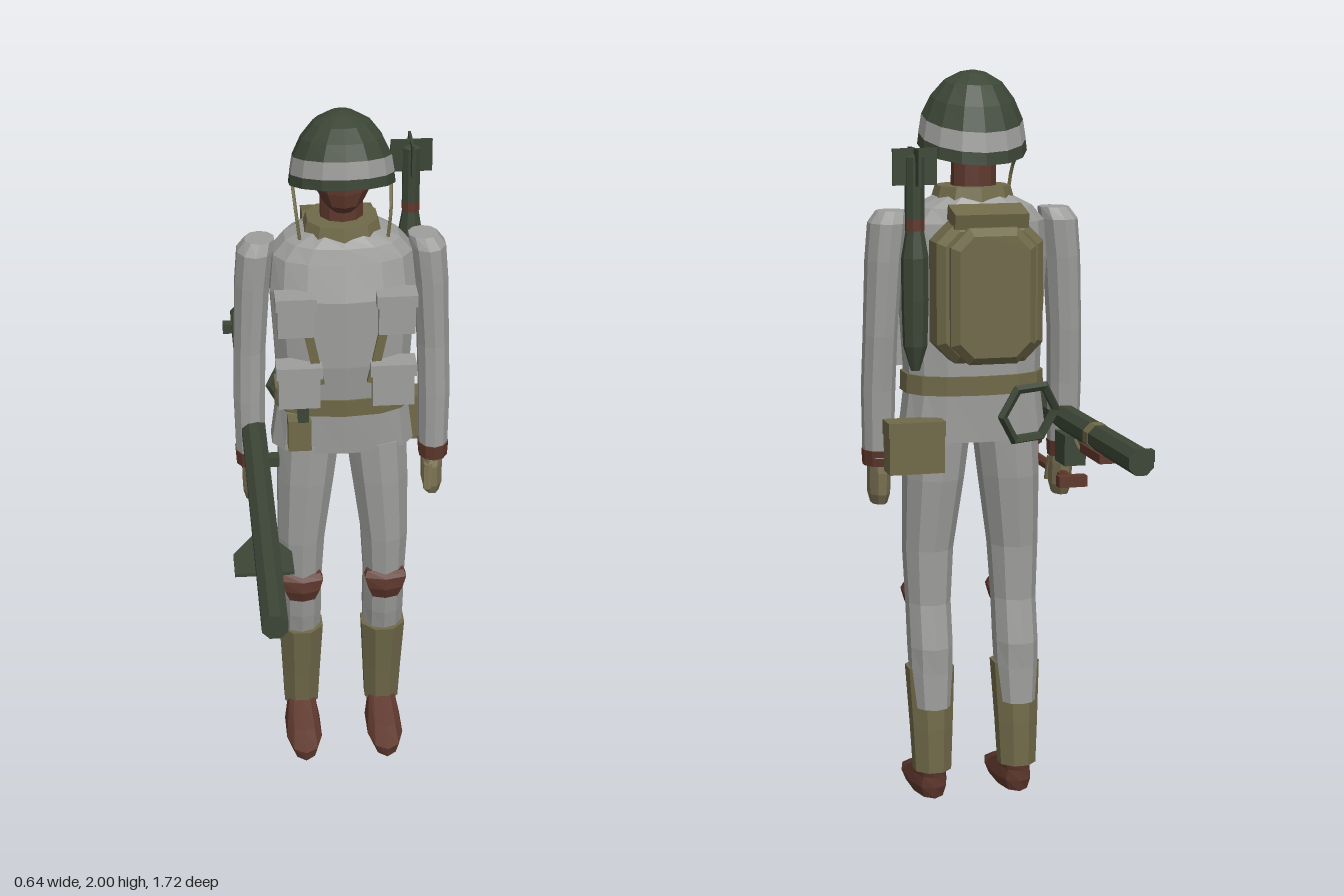
import * as THREE from 'three';

const mat = (name, color) => new THREE.MeshStandardMaterial({ name, color });

export function createModel() {
  const grey = mat('grey cloth', 0x9e9e9c);
  const green = mat('dark green', 0x3c4636);
  const tan = mat('olive tan', 0x706a49);
  const brown = mat('brown leather', 0x5e382d);
  const glove = mat('glove tan', 0x7a7152);
  const root = new THREE.Group();
  root.name = 'soldier';
  const body = new THREE.Group();
  body.name = 'body';
  body.position.x = 0.007;
  root.add(body);

  // Adds a faceted mesh
  const add = (parent, name, geo, material, x = 0, y = 0, z = 0) => {
    const g = geo.index ? geo.toNonIndexed() : geo;
    g.computeVertexNormals();
    const mesh = new THREE.Mesh(g, material);
    mesh.name = name;
    mesh.position.set(x, y, z);
    parent.add(mesh);
    return mesh;
  };
  const box = (parent, name, m, w, h, d, x, y, z) =>
    add(parent, name, new THREE.BoxGeometry(w, h, d), m, x, y, z);

  // Skin over rings listed upwards: [y, cx, cz, rx, rz, tilt]; sq < 1 squares the section
  const loft = (rings, n = 10, sq = 1) => {
    const first = rings[0], last = rings[rings.length - 1];
    const all = [[first[0], first[1], first[2], 0, 0], ...rings, [last[0], last[1], last[2], 0, 0]];
    const p = (v) => Math.sign(v) * Math.pow(Math.abs(v), sq);
    const at = ([y, cx, cz, rx, rz, tilt = 0], j) => {
      const a = ((j + 0.5) / n) * Math.PI * 2;
      const dz = rz * p(Math.sin(a));
      return [cx + rx * p(Math.cos(a)), y + tilt * dz, cz + dz];
    };
    const v = [];
    for (let i = 0; i < all.length - 1; i++) {
      for (let j = 0; j < n; j++) {
        const a = at(all[i], j), b = at(all[i + 1], j);
        const c = at(all[i + 1], j + 1), d = at(all[i], j + 1);
        if (i < all.length - 2) v.push(...a, ...b, ...c);
        if (i > 0) v.push(...a, ...c, ...d);
      }
    }
    // bottom and top fans
    for (let j = 0; j < n; j++) {
      v.push(first[1], first[0], first[2], ...at(first, j), ...at(first, j + 1));
    }
    const g = new THREE.BufferGeometry();
    g.setAttribute('position', new THREE.Float32BufferAttribute(v, 3));
    return g;
  };
  const tube = (parent, name, m, pts, r) => add(parent, name,
    new THREE.TubeGeometry(new THREE.CatmullRomCurve3(pts.map((q) => new THREE.Vector3(...q))), 6, r, 5), m);
  const outline = (pts) => new THREE.Shape(pts.map((q) => new THREE.Vector2(...q)));

  // Helmet: rim, painted band, dome
  add(body, 'helmetRim', loft([[1.795, 0, -0.17, 0.147, 0.15, 0.26], [1.826, 0, -0.17, 0.143, 0.147, 0.25]], 14), green);
  add(body, 'helmetBand', loft([[1.826, 0, -0.17, 0.144, 0.147, 0.25], [1.876, 0, -0.17, 0.136, 0.139, 0.25]], 14), grey);
  add(body, 'helmetDome', loft([[1.876, 0, -0.17, 0.136, 0.139, 0.25], [1.928, 0, -0.172, 0.112, 0.115, 0.18],
    [1.97, 0, -0.175, 0.078, 0.08, 0.1], [1.994, 0, -0.175, 0.035, 0.036, 0.05], [2, 0, -0.175, 0.004, 0.004]], 14), green);

  // Head, neck, collar
  add(body, 'head', loft([[1.735, 0, -0.125, 0.03, 0.03], [1.76, 0, -0.135, 0.055, 0.065],
    [1.8, 0, -0.15, 0.078, 0.088], [1.87, 0, -0.155, 0.085, 0.095]], 10), brown);
  add(body, 'neck', loft([[1.64, 0, -0.185, 0.062, 0.06], [1.81, 0, -0.185, 0.06, 0.055]], 10), brown);
  add(body, 'collar', loft([[1.655, 0, -0.175, 0.112, 0.1], [1.695, 0, -0.175, 0.1, 0.092]], 10, 0.85), tan);

  // Jacket and belt
  add(body, 'jacket', loft([[1.01, 0, -0.17, 0.205, 0.112], [1.16, 0, -0.167, 0.185, 0.122],
    [1.3, 0, -0.16, 0.192, 0.135], [1.5, 0, -0.16, 0.205, 0.138], [1.6, 0, -0.172, 0.195, 0.118],
    [1.64, 0, -0.175, 0.16, 0.108], [1.67, 0, -0.175, 0.1, 0.092]], 14, 0.8), grey);
  add(body, 'belt', loft([[1.14, 0, -0.167, 0.196, 0.129], [1.192, 0, -0.166, 0.194, 0.131]], 14, 0.8), tan);

  for (const s of [-1, 1]) {
    const side = s > 0 ? 'left' : 'right';
    // Arm, cuff, glove
    add(body, side + 'Arm', loft([[0.965, s * 0.262, -0.165, 0.042, 0.052], [1.15, s * 0.262, -0.17, 0.046, 0.056],
      [1.3, s * 0.258, -0.18, 0.046, 0.06], [1.5, s * 0.248, -0.182, 0.05, 0.068],
      [1.6, s * 0.238, -0.182, 0.052, 0.068], [1.632, s * 0.225, -0.18, 0.042, 0.045]], 10), grey);
    add(body, side + 'Cuff', loft([[0.942, s * 0.262, -0.163, 0.042, 0.05], [0.985, s * 0.262, -0.165, 0.045, 0.055]], 10), brown);
    add(body, side + 'Glove', loft([[0.832, s * 0.258, -0.15, 0.022, 0.038], [0.86, s * 0.258, -0.152, 0.03, 0.05],
      [0.92, s * 0.258, -0.156, 0.031, 0.05], [0.95, s * 0.26, -0.16, 0.03, 0.042]], 8), glove);
    add(body, side + 'Thumb', loft([[0.86, s * 0.24, -0.1, 0.012, 0.012], [0.93, s * 0.245, -0.12, 0.014, 0.016]], 6), glove);

    // Trouser leg, knee pad, gaiter, shoe
    const x = s * 0.122;
    add(body, side + 'TrouserLeg', loft([[0.26, x, -0.2, 0.052, 0.06], [0.36, x, -0.188, 0.06, 0.068],
      [0.43, x, -0.18, 0.062, 0.078], [0.55, x, -0.158, 0.062, 0.075], [0.7, x * 0.99, -0.15, 0.07, 0.082],
      [0.9, x * 0.87, -0.158, 0.084, 0.098], [1.03, x * 0.78, -0.16, 0.09, 0.1]], 10), grey);
    add(body, side + 'KneePad', loft([[0.498, x, -0.105, 0.042, 0.022], [0.535, x, -0.1, 0.058, 0.033],
      [0.57, x, -0.1, 0.07, 0.03], [0.588, x, -0.105, 0.062, 0.02]], 6), brown);
    add(body, side + 'Gaiter', loft([[0.078, x, -0.2, 0.054, 0.055], [0.2, x, -0.192, 0.06, 0.062],
      [0.368, x, -0.175, 0.069, 0.071]], 8), tan);
    add(body, side + 'Shoe', loft([[0, x, -0.105, 0.042, 0.132], [0.03, x, -0.106, 0.055, 0.137],
      [0.06, x, -0.14, 0.048, 0.1], [0.098, x, -0.195, 0.04, 0.05]], 10, 0.85), brown);

    // Chest pouches with flaps, webbing, chin strap
    for (const [px, py, w, h] of [[0.138, 1.47, 0.1, 0.115], [0.13, 1.255, 0.115, 0.125]]) {
      box(body, side + 'Pouch', grey, w, h, 0.06, s * px, py, -0.03);
      box(body, side + 'PouchFlap', grey, w + 0.012, 0.035, 0.068, s * px, py + h / 2 - 0.015, -0.028);
    }
    const web = box(body, side + 'Webbing', tan, 0.025, 0.24, 0.02, s * 0.095, 1.37, -0.033);
    web.rotation.z = s * -0.2;
    tube(body, side + 'ChinStrap', tan, [[s * 0.135, 1.8, -0.17], [s * 0.128, 1.73, -0.11], [s * 0.12, 1.66, -0.1]], 0.005);
  }

  // Belt kit: front pouch, hip pack, hexagonal hoop
  box(body, 'frontPouch', tan, 0.065, 0.095, 0.05, -0.128, 1.085, -0.06);
  box(body, 'pouchClip', green, 0.03, 0.07, 0.02, -0.118, 1.165, -0.042);
  box(body, 'hipPack', tan, 0.15, 0.14, 0.075, 0.19, 1.01, -0.285);
  box(body, 'hipPackFlap', tan, 0.156, 0.04, 0.08, 0.19, 1.06, -0.285);
  const hoop = add(body, 'hipHoop', new THREE.TorusGeometry(0.083, 0.014, 5, 6), green, -0.115, 1.095, -0.335);
  hoop.rotation.set(-0.2, 0.25, 0);

  // Backpack: case, raised back panel, lid
  const pack = (name, w, y0, y1, cut, depth, bevel, z) => add(body, name, new THREE.ExtrudeGeometry(
    outline([[-w + cut, y0], [w - cut, y0], [w, y0 + cut], [w, y1 - cut], [w - cut, y1], [-w + cut, y1], [-w, y1 - cut], [-w, y0 + cut]]),
    { depth, bevelThickness: bevel, bevelSize: bevel, bevelOffset: -bevel, bevelSegments: 1 }), tan, 0, 0, z);
  pack('packCase', 0.145, 1.24, 1.61, 0.05, 0.08, 0.02, -0.355);
  pack('packPanel', 0.115, 1.24, 1.6, 0.05, 0.03, 0.02, -0.39);
  const lid = box(body, 'packLid', tan, 0.2, 0.04, 0.085, 0, 1.625, -0.335);
  lid.rotation.x = -0.25;

  // Spare rocket beside the backpack
  const rocket = new THREE.Group();
  rocket.name = 'spareRocket';
  rocket.position.set(0.222, 0, -0.402);
  root.add(rocket);
  add(rocket, 'warhead', loft([[1.235, 0, 0, 0.012, 0.012], [1.3, 0, 0, 0.032, 0.032], [1.42, 0, 0, 0.036, 0.036],
    [1.53, 0, 0, 0.036, 0.036], [1.6, 0, 0, 0.024, 0.024]], 8), green);
  add(rocket, 'rocketBand', loft([[1.6, 0, 0, 0.026, 0.026], [1.63, 0, 0, 0.026, 0.026]], 8), brown);
  add(rocket, 'rocketMotor', loft([[1.63, 0, 0, 0.026, 0.026], [1.79, 0, 0, 0.026, 0.026], [1.8, 0, 0, 0.005, 0.005]], 8), green);
  box(rocket, 'fin', green, 0.118, 0.095, 0.008, 0, 1.765, 0);
  box(rocket, 'fin', green, 0.008, 0.095, 0.118, 0, 1.765, 0);

  // Launcher tube held at the right hip
  const launcher = new THREE.Group();
  launcher.name = 'launcher';
  launcher.position.set(-0.246, 1.055, 0);
  root.add(launcher);
  const rod = (name, m, r, len, y, z) =>
    add(launcher, name, new THREE.CylinderGeometry(r, r, len, 8).rotateY(Math.PI / 8).rotateX(Math.PI / 2), m, 0, y, z);
  rod('launchTube', green, 0.036, 1.72, 0, 0);
  rod('tubeBand', tan, 0.038, 0.04, 0, -0.505);
  box(launcher, 'rearSight', green, 0.03, 0.03, 0.03, -0.045, 0, -0.775);
  box(launcher, 'frontSight', green, 0.03, 0.03, 0.03, 0.047, 0, 0.035);
  box(launcher, 'shoulderRest', brown, 0.05, 0.025, 0.17, 0, -0.042, -0.515);
  box(launcher, 'triggerBox', green, 0.06, 0.085, 0.09, 0, -0.075, -0.265);
  box(launcher, 'frontGrip', brown, 0.04, 0.14, 0.05, 0, -0.1, 0.13);
  tube(launcher, 'sling', tan, [[0, -0.04, -0.3], [0, -0.065, -0.36], [0, -0.04, -0.44]], 0.004);

  // Spade slung below the tube
  rod('spadeShaft', brown, 0.015, 0.48, -0.165, -0.04);
  box(launcher, 'spadeHandle', brown, 0.08, 0.03, 0.035, 0, -0.165, -0.28);
  add(launcher, 'spadeBlade', new THREE.ExtrudeGeometry(
    outline([[-0.025, 0.18], [0.025, 0.18], [0.08, 0.27], [0.08, 0.37], [-0.08, 0.37], [-0.08, 0.27]]),
    { depth: 0.01, bevelEnabled: false }).rotateX(Math.PI / 2), green, 0, -0.155, 0);

  return root;
}
